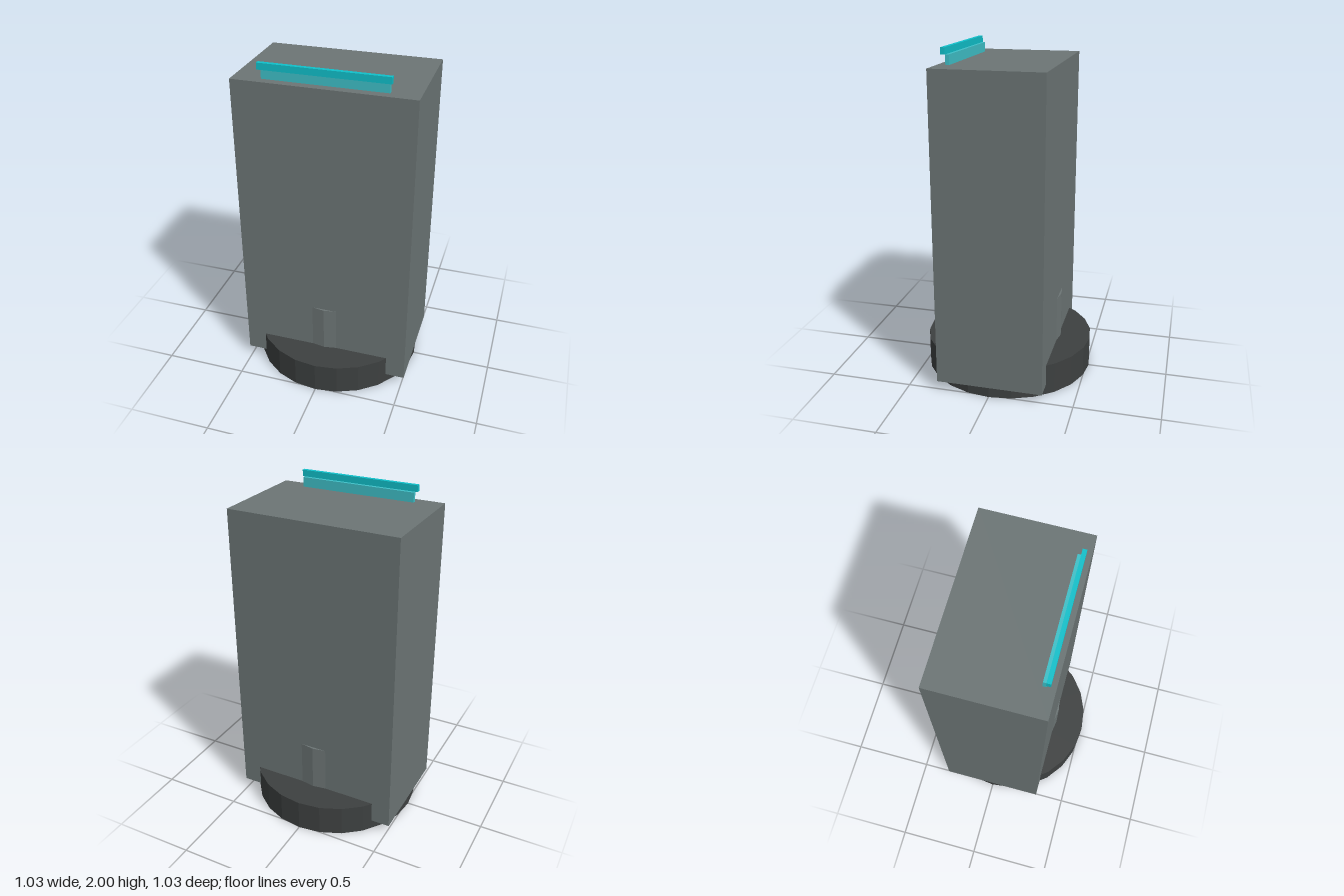
import * as THREE from 'three';

const paint = (color) => new THREE.MeshStandardMaterial({ color, flatShading: true });

// Box given by its width, bottom, top, back and front
function box(name, width, y0, y1, z0, z1, material) {
  const mesh = new THREE.Mesh(new THREE.BoxGeometry(width, y1 - y0, z1 - z0), material);
  mesh.position.set(0, (y0 + y1) / 2, (z0 + z1) / 2);
  mesh.name = name;
  return mesh;
}

// Upright faceted cylinder given by its radius, bottom and top
function drum(name, radius, y0, y1, sides, material) {
  const mesh = new THREE.Mesh(new THREE.CylinderGeometry(radius, radius, y1 - y0, sides), material);
  mesh.position.set(0, (y0 + y1) / 2, -0.002);
  mesh.name = name;
  return mesh;
}

export function createModel() {
  const group = new THREE.Group();
  const grey = paint(0x6c7575);

  // Round foot and the column rising from it into the cabinet
  group.add(drum('base', 0.515, 0, 0.19, 24, paint(0x3d4040)));
  group.add(drum('column', 0.331, 0.19, 0.477, 20, grey));

  // Tall rectangular cabinet
  group.add(box('body', 1.03, 0.06, 1.905, -0.32, 0.317, grey));

  // Two stepped strips on the top, near the front edge
  group.add(box('lowerStrip', 0.706, 1.905, 1.962, 0.247, 0.268, paint(0x3fc0c8)));
  group.add(box('upperStrip', 0.734, 1.962, 2, 0.266, 0.29, paint(0x10c0ca)));

  return group;
}
